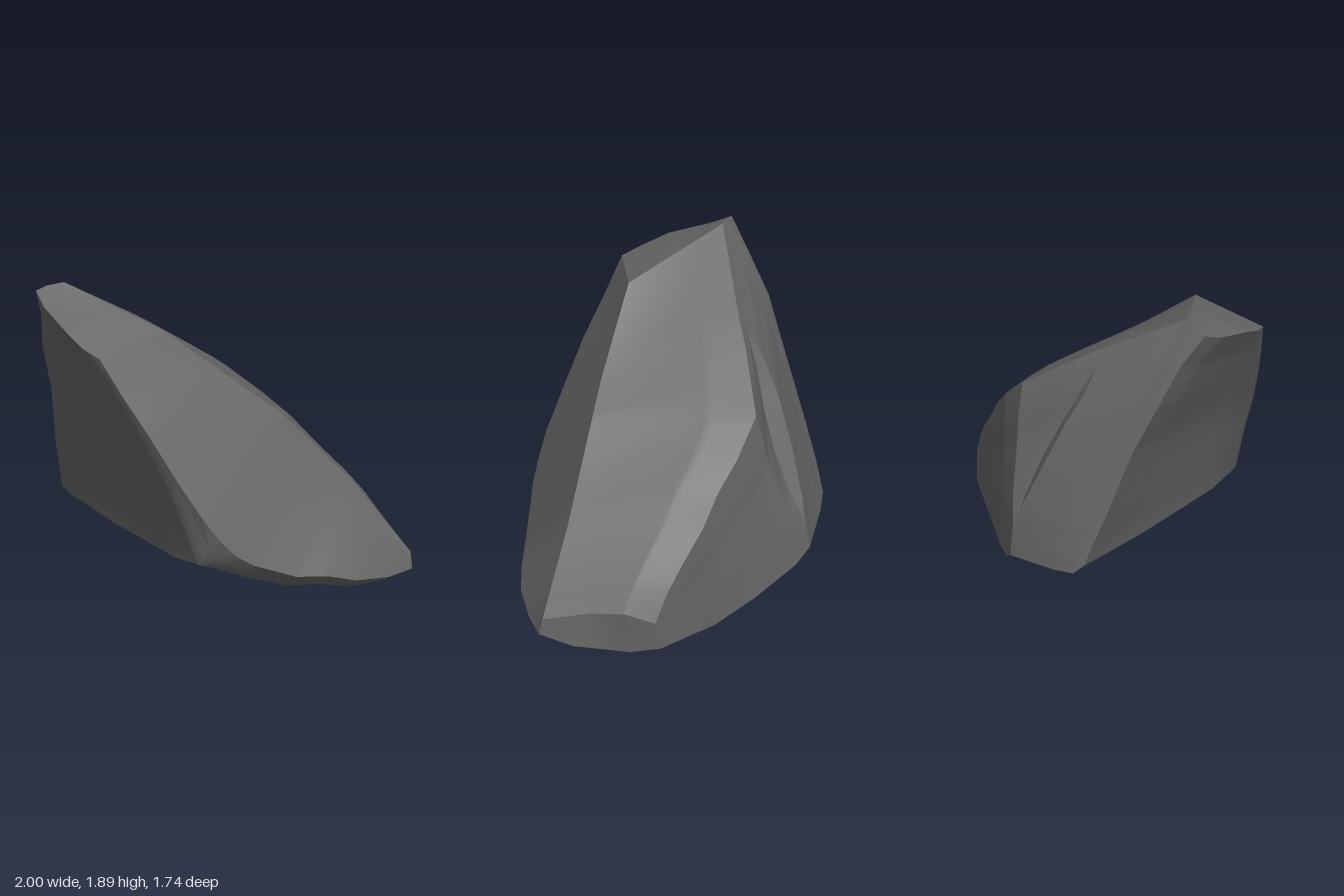
import * as THREE from 'three';

const N = 30; // grid steps across each facet
const v = (x, y, z) => new THREE.Vector3(x, y, z);

// Polyline through points, sampled evenly by length, with the bends kept exact so facets meet
function edge(...pts) {
  if (pts.length === 1) return Array.from({ length: N + 1 }, () => pts[0].clone());
  const path = new THREE.CurvePath();
  for (let i = 1; i < pts.length; i++) path.add(new THREE.LineCurve3(pts[i - 1], pts[i]));
  const out = path.getSpacedPoints(N), lengths = path.getCurveLengths();
  for (let i = 1; i < pts.length - 1; i++) {
    out[Math.round(N * lengths[i - 1] / path.getLength())].copy(pts[i]);
  }
  return out;
}

// Facet blended between four edges: c0, c1 run along u; d0, d1 join their starts and ends.
// The middle is moved by push.
function facet(name, c0, c1, d0, d1, push = v(0, 0, 0), side = THREE.FrontSide) {
  const pos = [], index = [], grid = [];
  const mid = v(0, 0, 0), facing = v(0, 0, 0);
  for (let j = 0; j <= N; j++) for (let i = 0; i <= N; i++) {
    const s = i / N, t = j / N;
    const p = c0[i].clone().lerp(c1[i], t)
      .add(d0[j].clone().lerp(d1[j], s))
      .sub(c0[0].clone().lerp(c0[N], s).lerp(c1[0].clone().lerp(c1[N], s), t))
      .addScaledVector(push, 16 * s * (1 - s) * t * (1 - t));
    p.y = Math.max(0, p.y);
    grid.push(p);
    mid.add(p);
    pos.push(p.x, p.y, p.z);
  }
  mid.divideScalar(grid.length);
  for (let j = 0; j < N; j++) for (let i = 0; i < N; i++) {
    const a = j * (N + 1) + i, b = a + 1, c = a + N + 1, d = c + 1;
    index.push(a, b, d, a, d, c);
    facing.add(grid[d].clone().sub(grid[a]).cross(grid[c].clone().sub(grid[b])));
  }
  // Turn the facet away from the middle of the rock
  if (facing.dot(mid.sub(v(0, 0.8, 0))) < 0) index.reverse();
  const geo = new THREE.BufferGeometry();
  geo.setAttribute('position', new THREE.Float32BufferAttribute(pos, 3));
  geo.setIndex(index);
  geo.computeVertexNormals();
  const mesh = new THREE.Mesh(geo, new THREE.MeshStandardMaterial({ color: 0x696969, side }));
  mesh.name = name;
  return mesh;
}

export function createModel() {
  const rock = new THREE.Group();
  rock.name = 'rock';

  // Corners
  const peak = v(-0.82, 1.89, -0.28), brow = v(-0.46, 1.69, 0.26);
  const tipFront = v(-0.92, 1.61, 0.31), tipBack = v(-0.98, 1.85, -0.33);
  const notch = v(-0.28, 1.56, -0.39), crack = v(-0.28, 1.47, -0.44), shoulder = v(0.23, 1.2, -0.5);
  const endTopBack = v(1, 0.24, 0.07), endTopFront = v(0.93, 0.22, 0.73);
  const endLowBack = v(0.98, 0.06, 0.04), endLowFront = v(0.93, 0.12, 0.75);
  const heel = v(0.08, 0.41, -0.785), heelLow = v(0.08, 0.24, -0.81);
  const footBack = v(-0.5, 0.39, -0.85), footFront = v(-0.42, 0.46, 0.73);
  const bevelTop = v(-0.59, 0.89, 0.65), bevelLow = v(-0.29, 0.43, 0.815);

  // Inner points of the broken edges
  const frontLeft = [v(-0.83, 1.4, 0.41), v(-0.72, 1.17, 0.53), bevelTop];
  const bevelPoints = [v(-0.48, 0.68, 0.74), v(-0.39, 0.54, 0.785)];
  const frontLow = [bevelLow, v(-0.18, 0.36, 0.825), v(0.09, 0.25, 0.85), v(0.3, 0.22, 0.865),
    v(0.49, 0.16, 0.865), v(0.74, 0.12, 0.81)];
  const topBack = [notch, v(-0.13, 1.46, -0.43), shoulder];
  const spine = [v(0.43, 1.02, -0.395), v(0.57, 0.87, -0.285), v(0.69, 0.7, -0.2),
    v(0.83, 0.53, -0.08), v(0.92, 0.4, 0)];
  const corner = [v(0.22, 1.0, -0.55), v(0.21, 0.85, -0.575), v(0.16, 0.56, -0.68)];
  const lipPoints = [v(-0.26, 1.32, -0.53), v(-0.17, 1.1, -0.625), v(-0.06, 0.8, -0.71), v(0.05, 0.52, -0.77)];
  const groovePoints = [v(-0.2, 1.3, -0.49), v(-0.09, 1.06, -0.54), v(0, 0.84, -0.6), v(0.06, 0.6, -0.69)];
  const backLow = [v(-0.43, 0.32, -0.875), v(-0.28, 0.29, -0.865), heelLow];
  const rightLow = [v(0.17, 0.17, -0.73), v(0.4, 0.08, -0.5), v(0.62, 0.02, -0.27), endLowBack];

  // Shared edges
  const ridge = edge(brow, v(0, 1.3, 0.41), v(0.2, 1.14, 0.46), v(0.62, 0.67, 0.59), endTopFront);
  const tipRim = edge(tipBack, v(-1, 1.79, -0.2), v(-1, 1.72, 0.04), v(-0.97, 1.65, 0.2), tipFront);
  const tipTop = [tipBack, v(-0.92, 1.877, -0.31), peak];
  const backLeft = edge(tipBack, v(-0.88, 1.65, -0.44), v(-0.81, 1.42, -0.55), v(-0.69, 1.1, -0.65),
    v(-0.59, 0.7, -0.77), v(-0.52, 0.47, -0.835), footBack);
  const foot = edge(footBack, v(-0.49, 0.35, -0.3), v(-0.48, 0.34, 0.4), v(-0.45, 0.36, 0.66), footFront);
  const endTop = edge(endTopBack, v(1, 0.3, 0.25), v(0.96, 0.28, 0.45), endTopFront);
  const endLow = edge(endLowBack, v(0.97, 0.03, 0.22), v(0.96, 0.06, 0.55), endLowFront);
  const endFront = edge(endTopFront, endLowFront), endBack = edge(endTopBack, endLowBack);

  rock.add(
    facet('topFacet', edge(...tipTop), edge(tipFront, brow), tipRim, edge(peak, brow)),
    facet('upperFace', edge(peak, ...topBack, ...spine, endTopBack), ridge, edge(peak, brow), endTop),
    facet('frontFace', ridge, edge(tipFront, ...frontLeft, ...bevelPoints, ...frontLow, endLowFront),
      edge(brow, tipFront), endFront),
    facet('cornerBevel', edge(bevelTop, ...bevelPoints, bevelLow), edge(footFront),
      edge(bevelTop, footFront), edge(bevelLow, footFront)),
    facet('rightEnd', endTop, endLow, endBack, endFront),
    facet('rightBackFace', edge(shoulder, ...spine, endTopBack), edge(heelLow, ...rightLow),
      edge(shoulder, ...corner, heel, heelLow), endBack),
    facet('grooveFace', edge(...topBack), edge(heel), edge(notch, crack, ...groovePoints, heel),
      edge(shoulder, ...corner, heel)),
    facet('grooveWall', edge(crack, ...lipPoints, heel), edge(crack, ...groovePoints, heel),
      edge(crack), edge(heel), v(0, 0, 0), THREE.DoubleSide),
    facet('backFace', edge(...tipTop, notch), edge(footBack, ...backLow), backLeft,
      edge(notch, crack, ...lipPoints, heel, heelLow)),
    facet('leftFace', tipRim, foot, backLeft, edge(tipFront, ...frontLeft, footFront), v(0.045, 0, 0)),
    facet('underside', edge(footBack, ...backLow, ...rightLow), edge(footFront, ...frontLow, endLowFront),
      foot, endLow, v(0, -0.05, 0)),
  );
  return rock;
}
